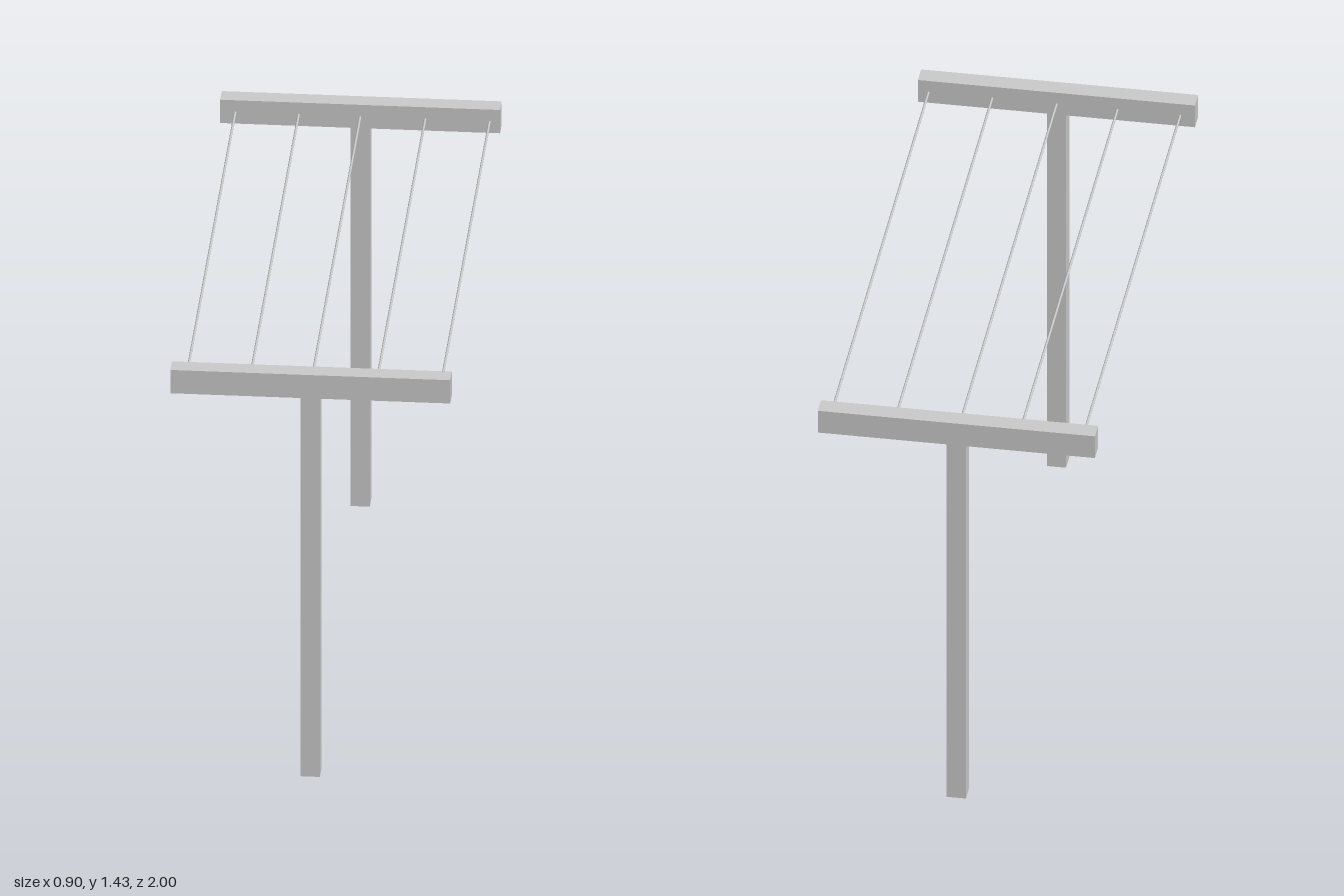
import * as THREE from 'three';

export function createModel() {
  const group = new THREE.Group();
  group.name = 'clothesline';
  const material = new THREE.MeshStandardMaterial({ color: 0xcccccc });

  const add = (name, geometry, x, y, z) => {
    const mesh = new THREE.Mesh(geometry, material);
    mesh.name = name;
    mesh.position.set(x, y, z);
    group.add(mesh);
  };

  const thick = 0.062, postHeight = 1.348, beamHeight = 0.083, beamWidth = 0.896;
  const endZ = 1 - thick / 2;

  // T-shaped supports at both ends
  const post = new THREE.BoxGeometry(thick, postHeight, thick);
  const beam = new THREE.BoxGeometry(beamWidth, beamHeight, thick);
  for (const [end, side] of [['front', 1], ['back', -1]]) {
    add(`${end}Post`, post, 0, postHeight / 2, side * endZ);
    add(`${end}Crossbeam`, beam, 0, postHeight + beamHeight / 2, side * endZ);
  }

  // Lines strung between the inner faces of the crossbeams
  const line = new THREE.CylinderGeometry(0.004, 0.004, 2 * (1 - thick) + 0.01, 10).rotateX(Math.PI / 2);
  [-0.4, -0.197, 0, 0.208, 0.414].forEach((x, i) => add(`line${i + 1}`, line, x, 1.387, 0));

  return group;
}
